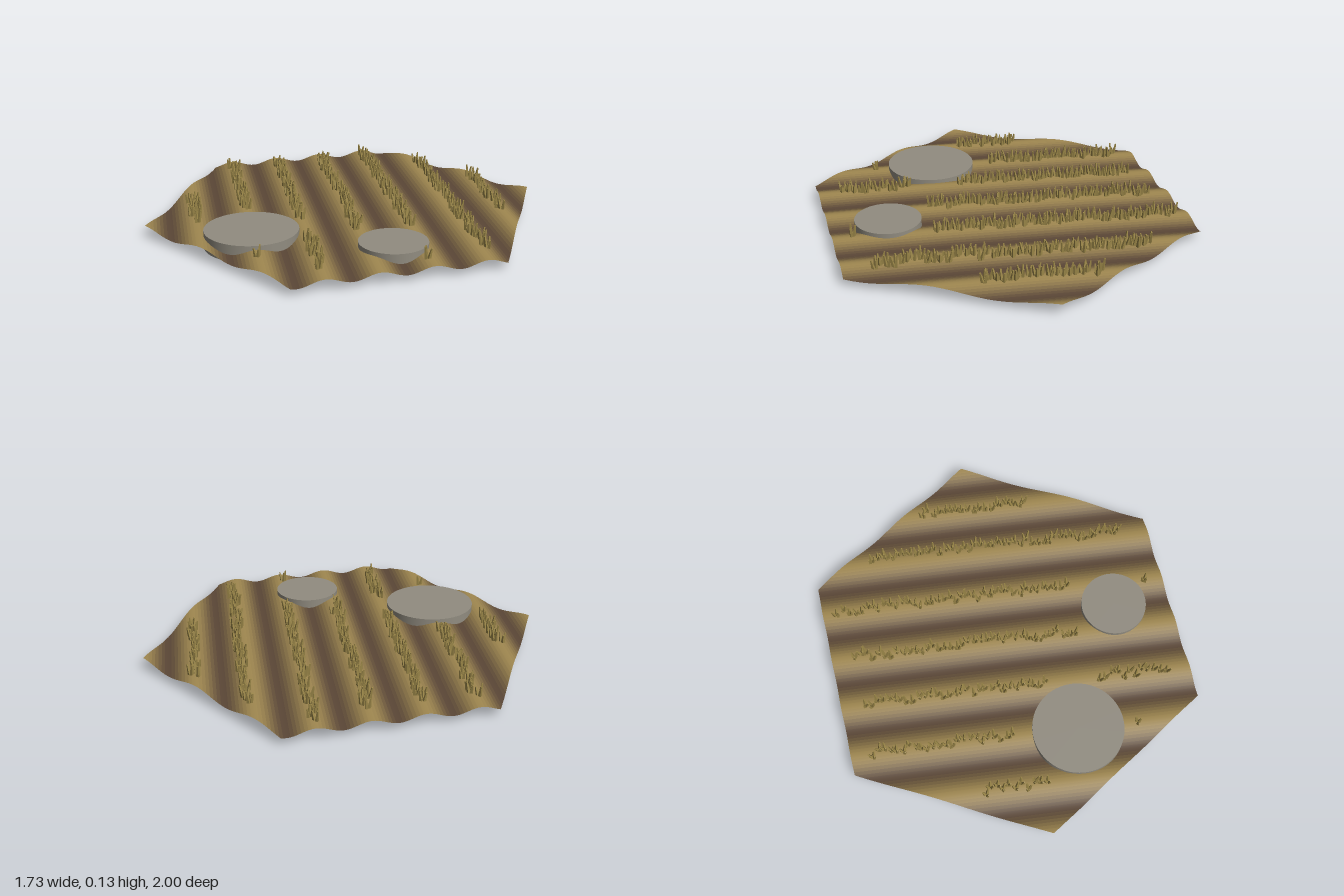
import * as THREE from 'three';
import { mergeGeometries } from 'three/addons/utils/BufferGeometryUtils.js';

const ANGLE = THREE.MathUtils.degToRad(23.7); // heading of the furrows
const C = Math.cos(ANGLE), S = Math.sin(ANGLE);
const PERIOD = 0.25, TONES = 8, STEPS = 40;

// s runs across the furrows, t along them
const toXZ = (s, t) => [s * C + t * S, -s * S + t * C];
const wave = (s) => Math.cos((s / PERIOD) * Math.PI * 2);
const height = (s, t) => 0.054 - 0.010 * (s * s + t * t) + 0.014 * wave(s);

let seed = 7;
function random() {
  seed = (seed * 16807) % 2147483647;
  return seed / 2147483647;
}
const spread = (a) => (random() * 2 - 1) * a;

// Stretch of t inside the hexagon at a given s
function hexSpan(s) {
  let lo = -2, hi = 2;
  for (let k = 0; k < 6; k++) {
    const a = (k * Math.PI) / 3;
    const ns = Math.cos(a) * C - Math.sin(a) * S;
    const nt = Math.cos(a) * S + Math.sin(a) * C;
    const limit = (Math.sqrt(3) / 2 - ns * s) / nt;
    if (nt > 0) hi = Math.min(hi, limit);
    else lo = Math.max(lo, limit);
  }
  return [lo, Math.max(lo, hi)];
}

// One ribbon of ground between two s values, with smooth normals
function groundStrip(s0, s1) {
  const position = [], normal = [], index = [];
  for (const s of [s0, s1]) {
    const [lo, hi] = hexSpan(s);
    for (let i = 0; i <= STEPS; i++) {
      const t = lo + ((hi - lo) * i) / STEPS, e = 0.001;
      const [x, z] = toXZ(s, t);
      position.push(x, height(s, t), z);
      const ds = (height(s + e, t) - height(s - e, t)) / (2 * e);
      const dt = (height(s, t + e) - height(s, t - e)) / (2 * e);
      const [gx, gz] = toXZ(ds, dt);
      normal.push(...new THREE.Vector3(-gx, 1, -gz).normalize().toArray());
    }
  }
  for (let i = 0; i < STEPS; i++) {
    const a = i, b = i + STEPS + 1;
    index.push(a, a + 1, b, a + 1, b + 1, b);
  }
  const g = new THREE.BufferGeometry();
  g.setAttribute('position', new THREE.Float32BufferAttribute(position, 3));
  g.setAttribute('normal', new THREE.Float32BufferAttribute(normal, 3));
  g.setIndex(index);
  return g;
}

// Furrowed hexagon, graded from dark troughs to pale ridges
function makeGround() {
  const ground = new THREE.Group();
  ground.name = 'furrowedGround';
  const corners = [];
  for (let k = 0; k < 6; k++) {
    const a = Math.PI / 6 + (k * Math.PI) / 3;
    corners.push(Math.cos(a) * C - Math.sin(a) * S);
  }
  const end = Math.max(...corners), step = PERIOD / 16;
  const cuts = [...corners];
  for (let k = -80; k <= 80; k++) if (Math.abs(k * step) < end) cuts.push(k * step);
  cuts.sort((a, b) => a - b);

  const bands = Array.from({ length: TONES }, () => []);
  for (let i = 0; i + 1 < cuts.length; i++) {
    if (cuts[i + 1] - cuts[i] < 1e-6) continue;
    const mid = (cuts[i] + cuts[i + 1]) / 2 / PERIOD;
    const away = Math.abs(mid - Math.round(mid)) * 2; // 0 on a ridge, 1 in a trough
    bands[Math.min(TONES - 1, Math.floor(away * TONES))].push(groundStrip(cuts[i], cuts[i + 1]));
  }
  const dark = new THREE.Color(0x5a4636), pale = new THREE.Color(0xa08850);
  bands.forEach((strips, i) => {
    const mix = (1 + Math.cos(((i + 0.5) / TONES) * Math.PI)) / 2;
    const material = new THREE.MeshStandardMaterial({
      color: dark.clone().lerp(pale, mix), side: THREE.DoubleSide,
    });
    const mesh = new THREE.Mesh(mergeGeometries(strips), material);
    mesh.name = 'soilBand' + (i + 1);
    ground.add(mesh);
  });
  return ground;
}

// A tuft of three leaning four-sided stalks
function tuft(s, t) {
  const stalks = [];
  const turn = random() * Math.PI * 2;
  for (let k = 0; k < 3; k++) {
    const h = 0.045 + random() * 0.022;
    const g = new THREE.CylinderGeometry(0.004, 0.010, h, 4);
    g.translate(0, h / 2 - 0.006, 0);
    g.rotateZ(-0.12 - random() * 0.12);
    g.translate(0.008, 0, 0);
    g.rotateY(turn + (k * Math.PI * 2) / 3 + spread(0.3));
    stalks.push(g);
  }
  const [x, z] = toXZ(s, t);
  return mergeGeometries(stalks).translate(x, height(s, t), z);
}

// Crop rows along the ridges: [ridge number, start t, end t]
function makeCrops() {
  const rows = [
    [-3, -0.19, 0.13], [-2, -0.71, 0], [-2, 0.594, 0.6], [-1, -0.727, 0.18],
    [-1, 0.446, 0.798], [0, -0.752, 0.368], [1, -0.822, 0.36], [1, 0.752, 0.758],
    [2.1, -0.63, 0.69], [3, -0.34, 0.222],
  ];
  const crops = new THREE.Group();
  crops.name = 'cropRows';
  const material = new THREE.MeshStandardMaterial({ color: 0x9a8648, flatShading: true });
  for (const [ridge, from, to] of rows) {
    const tufts = [];
    for (let t = from; t <= to; t += 0.03) {
      tufts.push(tuft(ridge * PERIOD + spread(0.02), t + spread(0.006)));
    }
    const mesh = new THREE.Mesh(mergeGeometries(tufts), material);
    mesh.name = 'cropRow';
    crops.add(mesh);
  }
  return crops;
}

export function createModel() {
  const model = new THREE.Group();
  model.name = 'farmTile';
  model.add(makeGround(), makeCrops());

  // Round stone bases set through the soil
  const stone = new THREE.MeshStandardMaterial({ color: 0x918c80 });
  for (const [name, x, r] of [['largeStoneBase', -0.34, 0.225], ['smallStoneBase', 0.34, 0.163]]) {
    const base = new THREE.Mesh(new THREE.CylinderGeometry(r, r, 0.082, 64), stone);
    base.name = name;
    base.position.set(x, 0.041, 0.475);
    model.add(base);
  }
  return model;
}
